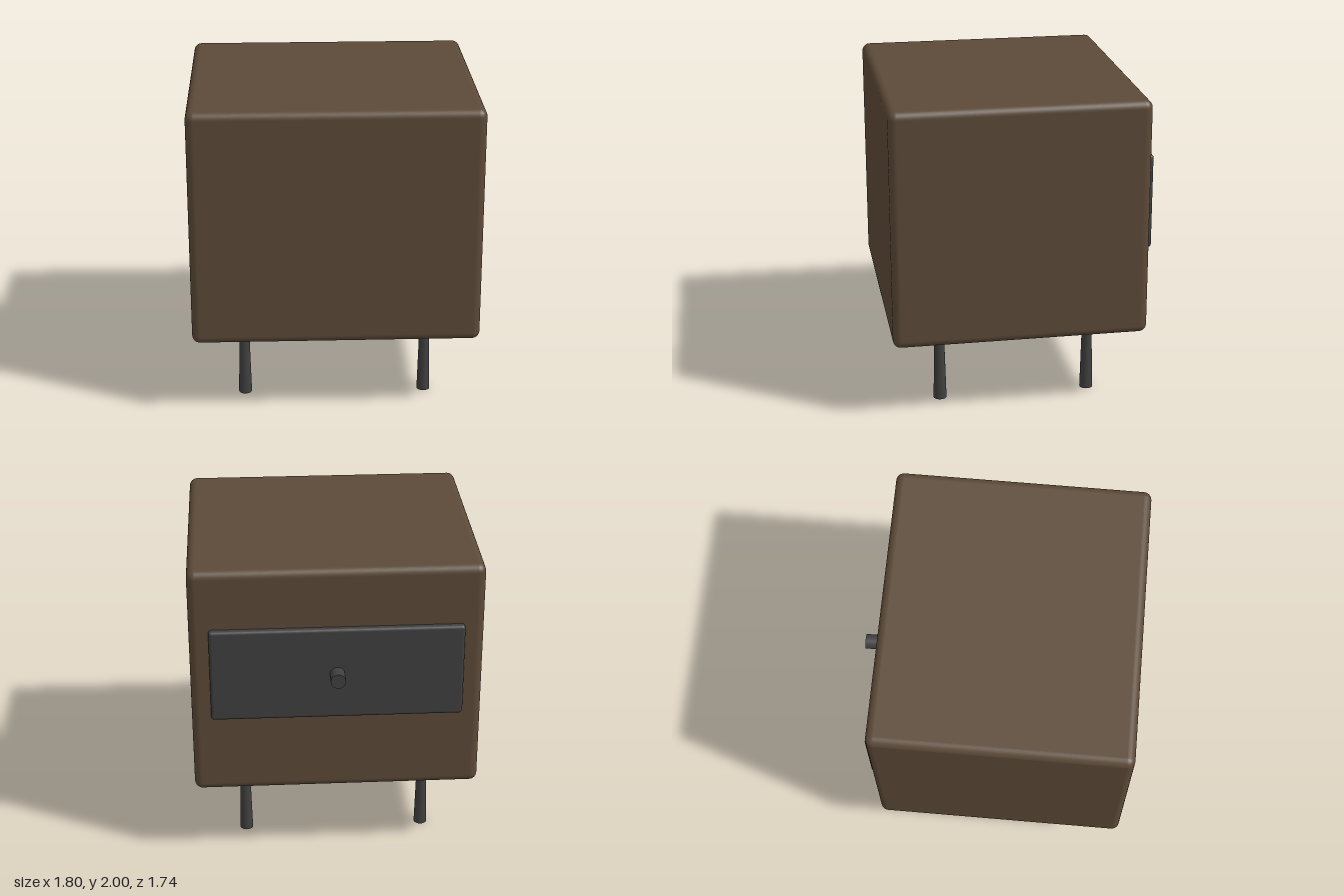
import * as THREE from 'three';
import { RoundedBoxGeometry } from 'three/addons/geometries/RoundedBoxGeometry.js';

export function createModel() {
  const group = new THREE.Group();
  const wood = new THREE.MeshStandardMaterial({ color: 0x5c4a38 });
  const dark = new THREE.MeshStandardMaterial({ color: 0x404040 });

  const add = (name, geometry, material, x, y, z) => {
    const mesh = new THREE.Mesh(geometry, material);
    mesh.name = name;
    mesh.position.set(x, y, z);
    group.add(mesh);
    return mesh;
  };

  // Cabinet body with softly rounded edges
  add('cabinetBody', new RoundedBoxGeometry(1.8, 1.51, 1.6, 5, 0.05), wood, 0, 1.245, 0.07);

  // Drawer panel, partly sunk into the back of the body
  add('drawerFront', new RoundedBoxGeometry(1.56, 0.605, 0.08, 4, 0.02), dark, 0, 1.32, -0.73);

  // Round drawer knob
  const knob = add('drawerKnob', new THREE.CylinderGeometry(0.047, 0.047, 0.11, 24), dark, 0, 1.32, -0.815);
  knob.rotation.x = Math.PI / 2;

  // Four legs, slightly wider at the foot
  const legGeometry = new THREE.CylinderGeometry(0.03, 0.042, 0.5, 20);
  for (const [side, x] of [['Left', 0.58], ['Right', -0.58]]) {
    for (const [end, z] of [['front', 0.55], ['back', -0.41]]) {
      add(`${end}${side}Leg`, legGeometry, dark, x, 0.25, z);
    }
  }

  return group;
}
